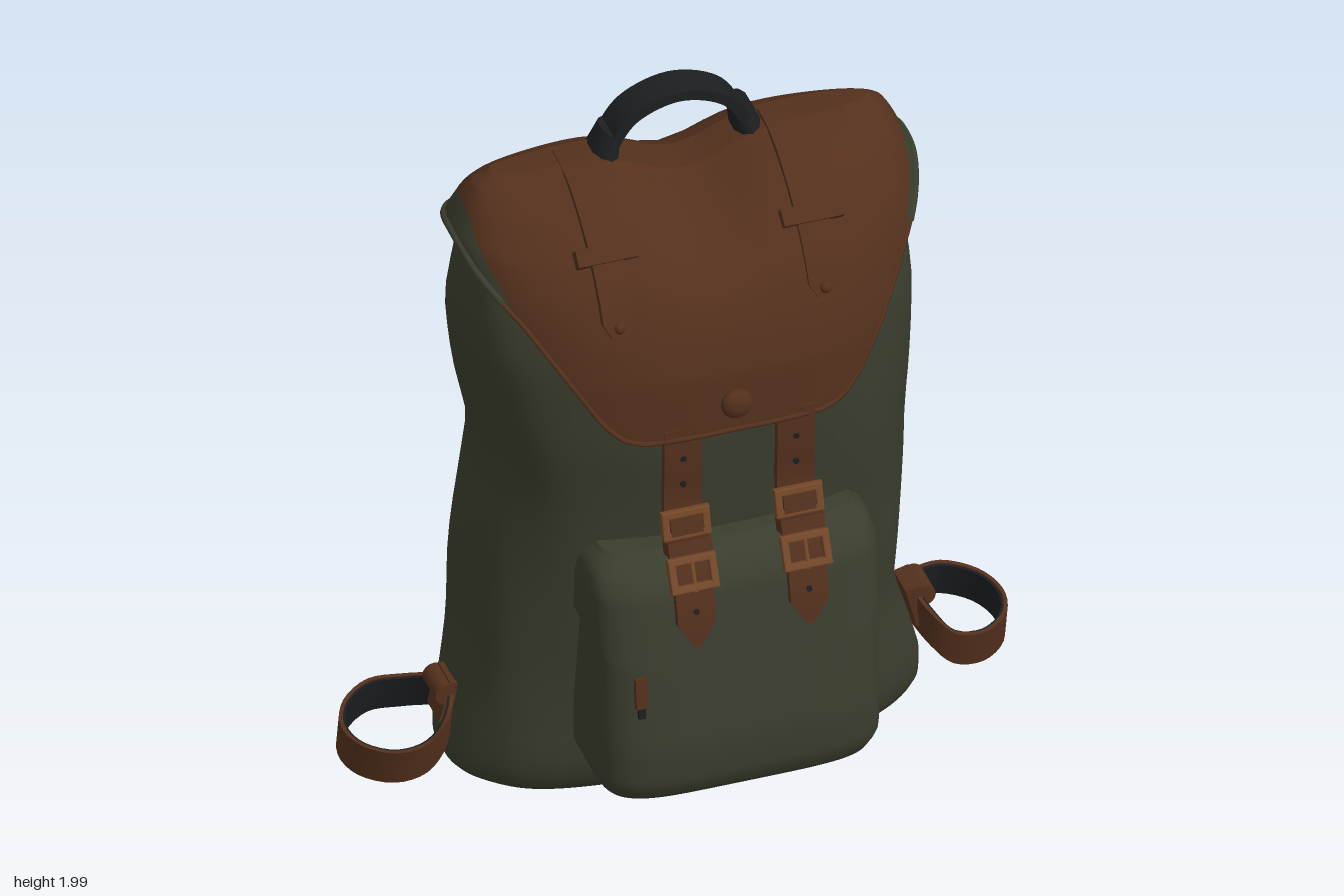
import * as THREE from 'three';
import { toCreasedNormals } from 'three/addons/utils/BufferGeometryUtils.js';

const V = (x, y, z) => new THREE.Vector3(x, y, z);
const paint = (name, color, side = THREE.FrontSide) =>
  Object.assign(new THREE.MeshStandardMaterial({ color, side }), { name });

// Piecewise-linear lookup of column c in rows sorted by their first value
function look(rows, v, c = 1) {
  if (v <= rows[0][0]) return rows[0][c];
  for (let i = 1; i < rows.length; i++) {
    const a = rows[i - 1], b = rows[i];
    if (v <= b[0]) return a[c] + (b[c] - a[c]) * (v - a[0]) / (b[0] - a[0]);
  }
  return rows[rows.length - 1][c];
}
const soft = (rows, v, c, h = 0.012) => (look(rows, v - h, c) + look(rows, v, c) + look(rows, v + h, c)) / 3;

// Section tables: y, half-width at -x, half-width at +x, front z, back z
const BODY = [
  [0.01, 0.52, 0.5, 0.07, -0.18], [0.03, 0.6, 0.575, 0.13, -0.27], [0.08, 0.635, 0.605, 0.18, -0.35],
  [0.16, 0.628, 0.608, 0.205, -0.4], [0.28, 0.608, 0.582, 0.21, -0.425], [0.42, 0.59, 0.543, 0.215, -0.433],
  [0.6, 0.58, 0.555, 0.23, -0.437], [0.85, 0.555, 0.565, 0.255, -0.44], [1, 0.535, 0.565, 0.275, -0.445],
  [1.2, 0.57, 0.57, 0.295, -0.445], [1.42, 0.597, 0.588, 0.285, -0.405], [1.55, 0.582, 0.567, 0.24, -0.375],
  [1.65, 0.555, 0.545, 0.17, -0.34], [1.76, 0.5, 0.5, 0.05, -0.26]];
const LID = [
  [1.1, 0.58, 0.58, 0.335, -0.455], [1.25, 0.59, 0.59, 0.333, -0.44], [1.4, 0.6, 0.6, 0.322, -0.42],
  [1.5, 0.607, 0.605, 0.295, -0.405], [1.58, 0.615, 0.61, 0.262, -0.388], [1.63, 0.613, 0.608, 0.235, -0.365],
  [1.7, 0.61, 0.605, 0.18, -0.335], [1.78, 0.575, 0.57, 0.085, -0.275], [1.83, 0.54, 0.54, -0.01, -0.21],
  [1.85, 0.49, 0.49, -0.08, -0.155]];
const POCKET = [
  [0.16, 0.3, 0.3, 0.36, 0.15], [0.18, 0.35, 0.35, 0.415, 0.1], [0.24, 0.378, 0.378, 0.445, 0.1],
  [0.35, 0.378, 0.378, 0.45, 0.1], [0.6, 0.37, 0.37, 0.42, 0.1], [0.8, 0.365, 0.365, 0.375, 0.1],
  [0.86, 0.33, 0.33, 0.3, 0.1]];
const POCKET_FLAP = [
  [0.55, 0.385, 0.385, 0.44, 0.1], [0.8, 0.383, 0.383, 0.395, 0.1], [0.85, 0.37, 0.37, 0.36, 0.1],
  [0.885, 0.33, 0.33, 0.29, 0.1]];

// Lid outline by |x|: hem height, and where the leather meets the canvas band
const HEM_F = [[0, 1.235], [0.25, 1.23], [0.3, 1.25], [0.34, 1.29], [0.5, 1.56], [0.57, 1.645], [0.6, 1.7]];
const HEM_B = [[0, 1.575], [0.35, 1.6], [0.5, 1.65], [0.6, 1.7]];
const BAND_F = [...HEM_F.slice(0, 5), [0.55, 1.675], [0.6, 1.775]];
const BAND_B = [[0, 1.71], [0.5, 1.73], [0.6, 1.775]];
const hem = (x, s) => look(s >= 0 ? HEM_F : HEM_B, Math.abs(x) * 0.6);
const band = (x, s) => look(s >= 0 ? BAND_F : BAND_B, Math.abs(x) * 0.6);

const spow = (v, p) => Math.sign(v) * Math.abs(v) ** p;
const sag = (x, y) => 0.075 * Math.exp(-((x / 0.14) ** 2)) * THREE.MathUtils.smoothstep(y, 1.5, 1.84);

// Point on a superellipse section at angle a and height y
function section(o, a, y) {
  const c = spow(Math.cos(a), 2 / o.n), s = spow(Math.sin(a), 2 / o.n);
  const fold = 1 + (o.fold || 0) * (Math.sin(4 * a + 5 * y) * Math.sin(6 * y + 1) + 0.6 * Math.sin(9 * a - 7 * y));
  const x = c * soft(o.rows, y, c < 0 ? 1 : 2) * fold;
  const z = o.zc + s * Math.abs(soft(o.rows, y, s > 0 ? 3 : 4) - o.zc) * fold;
  return V(x, y - sag(x, y), z);
}

// Skin between two heights, each of which may vary round the outline
function shell(o) {
  const cols = 96, rows = 36, pos = [], idx = [];
  for (let j = -1; j <= rows + 1; j++) for (let i = 0; i < cols; i++) {
    const a = i / cols * Math.PI * 2, x = spow(Math.cos(a), 2 / o.n), s = Math.sin(a);
    const t = 0.5 - 0.5 * Math.cos(Math.PI * THREE.MathUtils.clamp(j / rows, 0, 1));
    const lo = o.bottom(x, s), hi = o.top(x, s), p = section(o, a, lo + (hi - lo) * t);
    if ((j < 0 && o.closeBottom) || (j > rows && o.closeTop)) p.z = o.zc; // end closed to a line
    pos.push(p.x, p.y, p.z);
  }
  for (let j = 0; j < rows + 2; j++) for (let i = 0; i < cols; i++) {
    const A = j * cols + i, B = j * cols + (i + 1) % cols;
    idx.push(A, A + cols, B, B, A + cols, B + cols);
  }
  const g = new THREE.BufferGeometry();
  g.setAttribute('position', new THREE.Float32BufferAttribute(pos, 3));
  g.setIndex(idx);
  g.computeVertexNormals();
  return g;
}

// Flat strap of rectangular section along a curve; off shifts it along its normal
function strap(pts, side, width, th, off = 0, n = 40) {
  const curve = new THREE.CatmullRomCurve3(pts), pos = [], idx = [];
  for (let j = 0; j <= n; j++) {
    const t = j / n, p = curve.getPoint(t), T = curve.getTangent(t);
    const N = T.clone().cross(side).normalize(), w = (typeof width === 'function' ? width(t) : width) / 2;
    for (const [a, b] of [[1, 1], [-1, 1], [-1, -1], [1, -1]]) {
      const q = p.clone().addScaledVector(side, a * w).addScaledVector(N, b * th / 2 + off);
      pos.push(q.x, q.y, q.z);
    }
    if (j < n) for (let k = 0; k < 4; k++) {
      const A = j * 4 + k, B = j * 4 + (k + 1) % 4;
      idx.push(A, B, A + 4, B, B + 4, A + 4);
    }
  }
  const e = n * 4;
  idx.push(0, 3, 2, 0, 2, 1, e, e + 1, e + 2, e, e + 2, e + 3);
  const g = new THREE.BufferGeometry();
  g.setAttribute('position', new THREE.Float32BufferAttribute(pos, 3));
  g.setIndex(idx);
  return toCreasedNormals(g, 0.7);
}

// Rectangular buckle frame
function buckleFrame(w, h) {
  const rect = (S, a, b) => new S([[-a, -b], [a, -b], [a, b], [-a, b]].map(p => new THREE.Vector2(...p)));
  const s = rect(THREE.Shape, w / 2, h / 2);
  s.holes.push(rect(THREE.Path, w / 2 - 0.012, h / 2 - 0.012));
  return new THREE.ExtrudeGeometry(s, { depth: 0.014, bevelSize: 0.004, bevelThickness: 0.004, bevelSegments: 2 });
}

export function createModel() {
  const root = new THREE.Group();
  const canvas = paint('olive canvas', 0x3a3d2d, THREE.DoubleSide);
  const leather = paint('brown leather', 0x54301d, THREE.DoubleSide);
  const metal = paint('bronze buckle', 0x744829);
  const black = paint('black webbing', 0x1c1e20);
  const add = (name, geo, mat, x = 0, y = 0, z = 0, rx = 0, rz = 0) => {
    const m = new THREE.Mesh(geo, mat);
    m.name = name; m.position.set(x, y, z); m.rotation.set(rx, 0, rz);
    root.add(m);
    return m;
  };
  const X = V(1, 0, 0), Z = V(0, 0, 1), LEAN = V(0, 0.98, 0.2);

  // Sack, pocket and their flaps
  const lid = { rows: LID, n: 2.6, zc: -0.12 };
  add('body', shell({ rows: BODY, n: 2.7, zc: -0.12, fold: 0.009, bottom: () => 0.01, top: () => 1.76,
    closeBottom: true, closeTop: true }), canvas);
  add('lidLeather', shell({ ...lid, bottom: band, top: () => 1.85, closeTop: true }), leather);
  add('lidBand', shell({ ...lid, bottom: hem, top: band }), canvas);
  add('pocket', shell({ rows: POCKET, n: 5, zc: 0.2, bottom: () => 0.16, top: () => 0.86,
    closeBottom: true, closeTop: true }), canvas);
  const flapHem = [[0, 0.585], [0.2, 0.58], [0.3, 0.595], [0.36, 0.62], [0.385, 0.67]];
  add('pocketFlap', shell({ rows: POCKET_FLAP, n: 5, zc: 0.2, bottom: x => look(flapHem, Math.abs(x) * 0.385),
    top: () => 0.885, closeTop: true }), canvas);

  // Rolled hem round the lid, leather in front and canvas behind
  const hemLine = (from, to) => new THREE.CatmullRomCurve3(Array.from({ length: 41 }, (_, i) => {
    const a = from + (to - from) * i / 40;
    return section(lid, a, hem(spow(Math.cos(a), 2 / lid.n), Math.sin(a)));
  }));
  add('lidFrontHem', new THREE.TubeGeometry(hemLine(0.55, Math.PI - 0.55), 120, 0.007, 6), leather);
  add('lidBackHem', new THREE.TubeGeometry(hemLine(Math.PI - 0.55, Math.PI * 2 + 0.55), 120, 0.01, 6), canvas);

  // Lid button
  add('button', new THREE.SphereGeometry(0.042, 24, 16), leather, 0, 1.315, 0.335).scale.z = 0.6;

  // Closing straps with buckles, keepers and holes
  for (const x of [-0.14, 0.16]) {
    const line = [[1.26, 0.318], [1.15, 0.318], [1.02, 0.315], [0.92, 0.35], [0.84, 0.393], [0.75, 0.42], [0.66, 0.435]];
    add('closingStrap', strap(line.map(([y, z]) => V(x, y, z)), X, t => t > 0.88 ? 0.1 - 0.7 * (t - 0.88) : 0.1, 0.02), leather);
    add('upperBuckle', buckleFrame(0.12, 0.07), metal, x, 0.98, 0.338, -0.25);
    add('buckleTongue', new THREE.BoxGeometry(0.085, 0.045, 0.025), leather, x, 0.975, 0.345, -0.25);
    add('lowerBuckle', buckleFrame(0.12, 0.085), metal, x, 0.86, 0.395, -0.45);
    add('bucklePin', new THREE.CylinderGeometry(0.006, 0.006, 0.085, 8), metal, x, 0.86, 0.407, -0.45);
    add('strapKeeper', new THREE.BoxGeometry(0.115, 0.035, 0.05), leather, x, 0.922, 0.36, -0.4);
    for (const [y, z] of [[1.17, 0.328], [1.09, 0.328], [0.76, 0.428]])
      add('strapHole', new THREE.CylinderGeometry(0.008, 0.008, 0.006, 12), black, x, y, z, Math.PI / 2 - (y < 1 ? 0.35 : 0));
  }

  // Tabs stitched over the lid
  for (const x of [-0.285, 0.26]) {
    const onLid = y => {
      const r = Math.abs(x) / soft(LID, y, 2);
      return V(x, y - sag(x, y) + 0.002, lid.zc + (soft(LID, y, 3) - lid.zc) * (1 - r ** lid.n) ** (1 / lid.n) + 0.005);
    };
    const line = [1.825, 1.8, 1.76, 1.72, 1.66, 1.6, 1.54].map(onLid);
    add('lidTab', strap([V(x, 1.843, -0.14), V(x, 1.843, -0.08), ...line], X,
      t => t > 0.93 ? 0.085 - 0.6 * (t - 0.93) : 0.085, 0.022), leather);
    const k = onLid(1.72);
    add('lidTabLoop', new THREE.BoxGeometry(0.16, 0.045, 0.035), leather, x, k.y, k.z + 0.006, -0.8);
    const r = onLid(1.565);
    add('lidTabRivet', new THREE.SphereGeometry(0.016, 12, 8), leather, x, r.y, r.z + 0.008);
  }

  // Carrying handle
  const arc = [[-0.195, 1.8], [-0.175, 1.87], [-0.12, 1.945], [0, 1.985], [0.12, 1.945], [0.175, 1.87], [0.195, 1.8]];
  add('handle', strap(arc.map(([x, y]) => V(x - 0.008, y, -0.127)), Z, 0.095, 0.028), black);
  for (const s of [-1, 1]) {
    add('handleFoot', new THREE.CylinderGeometry(0.028, 0.045, 0.11, 10), black, s * 0.185 - 0.008, 1.845, -0.13, 0, s * 0.28).scale.z = 1.75;

    // Lower webbing loops at the sides
    const loop = [[0.6, 0.25, -0.12], [0.645, 0.19, -0.03], [0.7, 0.13, -0.015], [0.78, 0.11, -0.025], [0.855, 0.107, -0.09],
      [0.875, 0.11, -0.18], [0.84, 0.12, -0.26], [0.76, 0.13, -0.31], [0.68, 0.14, -0.29], [0.62, 0.165, -0.24], [0.59, 0.2, -0.17]]
      .map(([x, y, z]) => V(s * x, y, z));
    add('sideLoop', strap(loop, LEAN, 0.11, 0.01), leather);
    add('sideLoopLining', strap(loop, LEAN, 0.104, 0.006, -s * 0.008), black);
    add('sideLoopTab', new THREE.BoxGeometry(0.04, 0.12, 0.095), leather, s * 0.62, 0.245, -0.11, 0, s * 0.25);
    add('sideLoopStud', new THREE.CylinderGeometry(0.03, 0.03, 0.1, 16), leather, s * 0.635, 0.275, -0.11, Math.PI / 2);
  }

  // Zip pull on the pocket
  add('zipPull', new THREE.BoxGeometry(0.03, 0.085, 0.016), leather, -0.285, 0.535, 0.421, -0.12);
  add('zipPullEnd', new THREE.BoxGeometry(0.018, 0.03, 0.012), black, -0.285, 0.478, 0.428, -0.12);
  return root;
}
